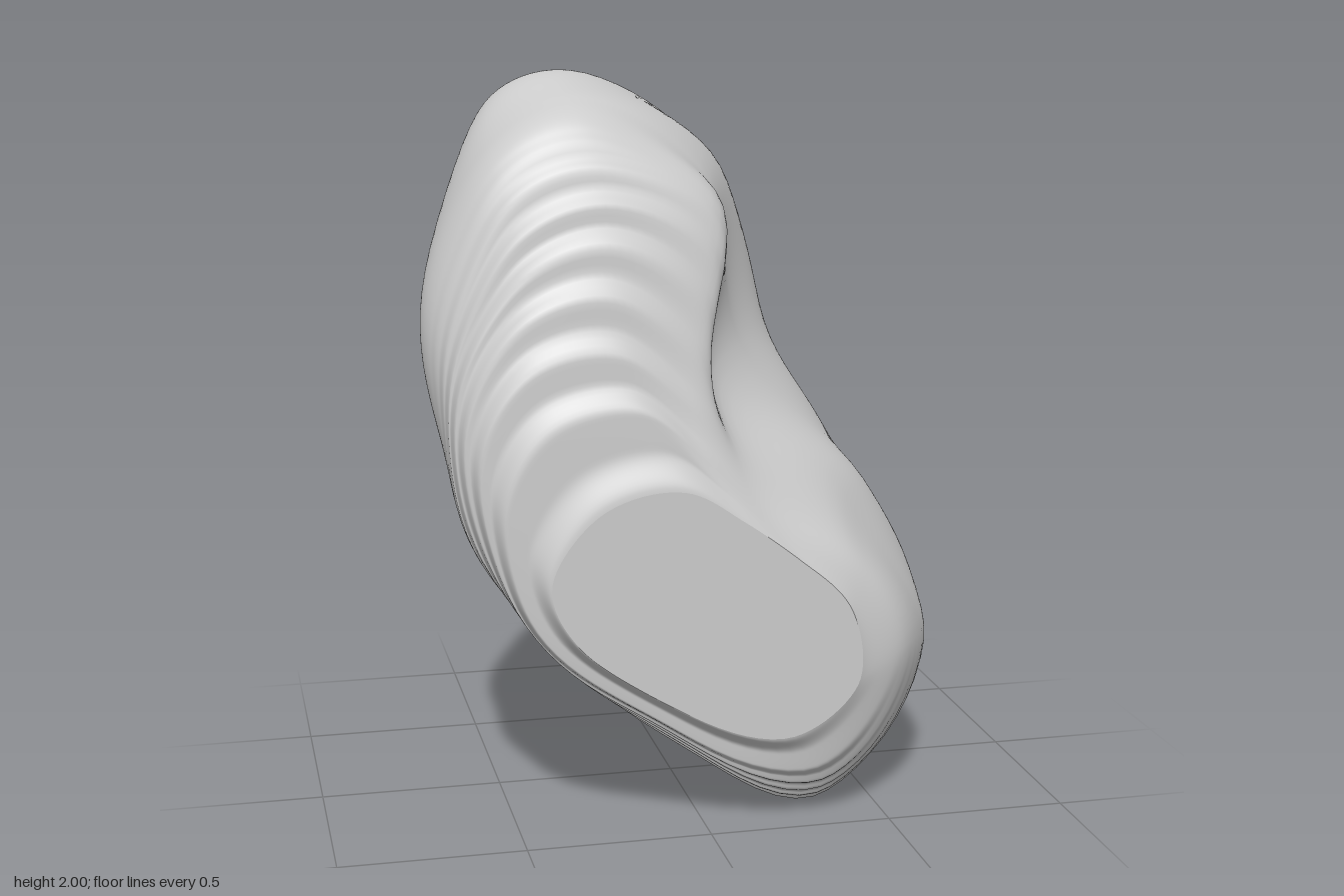
import * as THREE from 'three';

// Depth of each cross-section, front to back
const DEPTHS = [0.53, 0.46, 0.28, 0.1, -0.15, -0.38, -0.53];

// Outlines, clockwise from the top: top, upper right, waist, shoulder, right,
// bottom, lower left, left, upper left, top left
const SECTIONS = [
  [-.08, .95, .08, .87, .23, .75, .37, .60, .40, .40, .22, .27, -.12, .38, -.36, .56, -.43, .73, -.30, .90],
  [-.22, 1.27, -.04, 1.12, .11, .95, .40, .74, .55, .45, .32, .12, -.20, .34, -.52, .66, -.59, .98, -.45, 1.22],
  [-.25, 1.78, .06, 1.62, .06, 1.20, .43, .86, .66, .42, .34, .00, -.28, .38, -.61, .82, -.67, 1.28, -.50, 1.68],
  [-.28, 1.94, .09, 1.72, .17, 1.26, .53, .86, .71, .42, .38, .08, -.20, .45, -.60, .99, -.70, 1.41, -.54, 1.82],
  [-.25, 1.99, .14, 1.77, .32, 1.26, .51, .92, .63, .60, .42, .26, .00, .62, -.38, 1.10, -.55, 1.58, -.48, 1.92],
  [-.12, 1.92, .14, 1.77, .28, 1.35, .38, 1.05, .39, .82, .32, .62, .09, .94, -.16, 1.30, -.38, 1.69, -.33, 1.88],
  [-.14, 1.76, -.03, 1.72, .01, 1.65, .02, 1.57, .00, 1.49, -.04, 1.45, -.12, 1.49, -.22, 1.57, -.31, 1.68, -.27, 1.75],
];

const POINTS = 10, RINGS = 190, SEGMENTS = 100, SLICE = 0.53 / 13;

// Gathers depth into thin slices: on the left and bottom at the front, on the right at the back
function terrace(z, around) {
  const depth = Math.abs(z), a = depth / SLICE, k = Math.floor(a + 1e-6);
  const stepped = SLICE * (k + THREE.MathUtils.smoothstep(a - k, 0.5, 1));
  const side = Math.cos(2 * Math.PI * (around - (z > 0 ? 0.78 : 0.25)));
  const weight = 0.85 * THREE.MathUtils.smoothstep(depth, 0.2, 0.36) * THREE.MathUtils.smoothstep(side, -0.8, 0.2);
  return Math.sign(z) * THREE.MathUtils.lerp(depth, stepped, weight);
}

// Shallow, uneven swelling of the surface
function swell(x, y, z) {
  return 0.006 * (Math.sin(9 * y + 5 * x) * Math.sin(11 * z + 3 * y) + Math.sin(17 * z - 6 * y + 8 * x));
}

function mesh(name, positions, index, material) {
  const geometry = new THREE.BufferGeometry();
  geometry.setAttribute('position', new THREE.Float32BufferAttribute(positions, 3));
  geometry.setIndex(index);
  geometry.computeVertexNormals();
  const m = new THREE.Mesh(geometry, material);
  m.name = name;
  return m;
}

// Flat end closing a ring of points
function endCap(name, ring, front, material) {
  const centre = ring.reduce((s, p) => s.add(p), new THREE.Vector3()).divideScalar(ring.length);
  const positions = [centre, ...ring].flatMap((p) => p.toArray());
  const index = [];
  for (let j = 0; j < ring.length; j++) {
    const a = 1 + j, b = 1 + ((j + 1) % ring.length);
    index.push(0, front ? b : a, front ? a : b);
  }
  return mesh(name, positions, index, material);
}

export function createModel() {
  const group = new THREE.Group();
  group.name = 'lobedBody';
  const material = new THREE.MeshStandardMaterial({ color: 0xcccccc });

  // Lengthwise curves through matching points of every section
  const lines = Array.from({ length: POINTS }, (_, p) => new THREE.CatmullRomCurve3(
    SECTIONS.map((s, i) => new THREE.Vector3(s[2 * p], s[2 * p + 1], DEPTHS[i])), false, 'catmullrom', 0.5));

  // Smooth closed rings across the curves
  const rings = [];
  for (let i = 0; i <= RINGS; i++) {
    const outline = new THREE.CatmullRomCurve3(lines.map((l) => l.getPoint(i / RINGS)), true);
    const ring = [];
    for (let j = 0; j < SEGMENTS; j++) {
      const p = outline.getPoint(j / SEGMENTS);
      const t = outline.getTangent(j / SEGMENTS);
      const d = swell(p.x, p.y, p.z);
      ring.push(new THREE.Vector3(p.x - t.y * d, Math.max(0, p.y + t.x * d), terrace(p.z, j / SEGMENTS)));
    }
    rings.push(ring);
  }

  // Skin between the rings
  const index = [];
  for (let i = 0; i < RINGS; i++) {
    for (let j = 0; j < SEGMENTS; j++) {
      const k = (j + 1) % SEGMENTS;
      const a = i * SEGMENTS + j, b = i * SEGMENTS + k;
      index.push(a, b, a + SEGMENTS, b, b + SEGMENTS, a + SEGMENTS);
    }
  }
  group.add(mesh('terracedSkin', rings.flat().flatMap((p) => p.toArray()), index, material));
  group.add(endCap('frontFace', rings[0], true, material));
  group.add(endCap('backFace', rings[RINGS], false, material));
  return group;
}
